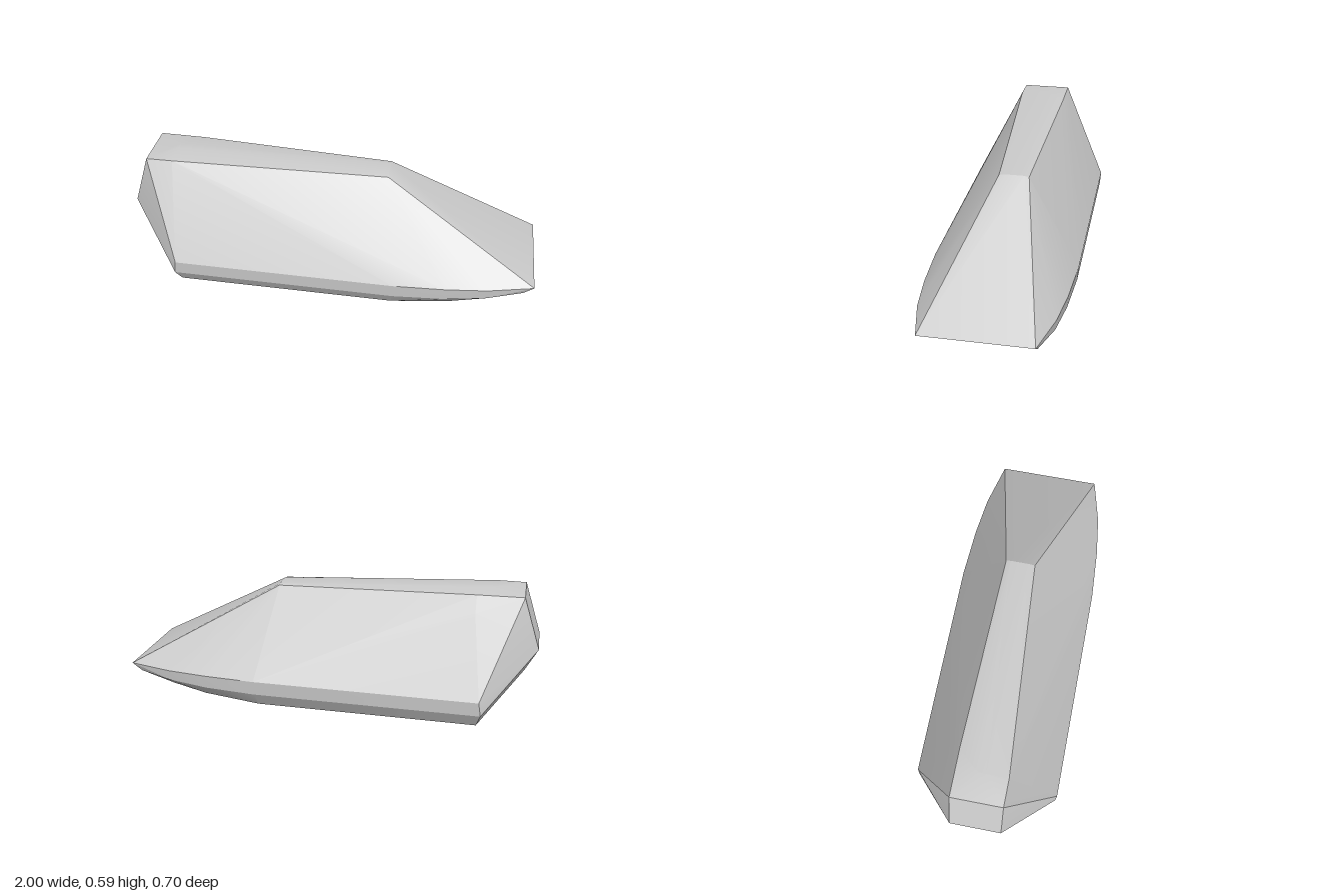
import * as THREE from 'three';
import { ConvexGeometry } from 'three/addons/geometries/ConvexGeometry.js';
import { toCreasedNormals } from 'three/addons/utils/BufferGeometryUtils.js';

export function createModel() {
  const group = new THREE.Group();
  const points = [];
  const add = (x, y, z) => points.push(new THREE.Vector3(x, y, z));
  const pair = (x, y, z) => { add(x, y, z); add(x, y, -z); };

  // Flat base, rising in steps towards the pointed end: [x, y, half width]
  const base = [[-0.74, 0, 0.307], [0.32, 0, 0.307], [0.6, 0.02, 0.285], [0.78, 0.045, 0.255], [0.88, 0.063, 0.215]];
  // Chine just above the base
  const chine = [[-0.76, 0.065, 0.345], [0.33, 0.065, 0.345], [0.58, 0.07, 0.33], [0.78, 0.083, 0.305], [0.95, 0.097, 0.255]];
  // Widest outline, ending in the straight leading edge
  const rim = [[-0.75, 0.133, 0.35], [0.33, 0.133, 0.35], [0.58, 0.133, 0.335], [0.78, 0.133, 0.31], [1, 0.133, 0.255]];
  // Narrow blunt end
  const tail = [[-0.94, 0.22, 0.12], [-1, 0.33, 0.122], [-0.92, 0.58, 0.122]];
  for (const p of [...base, ...chine, ...rim, ...tail]) pair(...p);

  // Top ridge, slightly off centre where the sloping face begins
  pair(-0.79, 0.592, 0.018);
  add(-0.79, 0.581, 0.122);
  add(-0.7, 0.578, -0.122);
  add(-0.7, 0.5, -0.168);
  for (const [y, z] of [[0.55, 0.045], [0.555, 0.02], [0.555, -0.075], [0.55, -0.098]]) add(0.26, y, z);

  const body = new THREE.Mesh(
    toCreasedNormals(new ConvexGeometry(points), 0.2),
    new THREE.MeshStandardMaterial({ color: 0xcccccc })
  );
  body.name = 'wedgeBody';
  group.add(body);
  return group;
}
